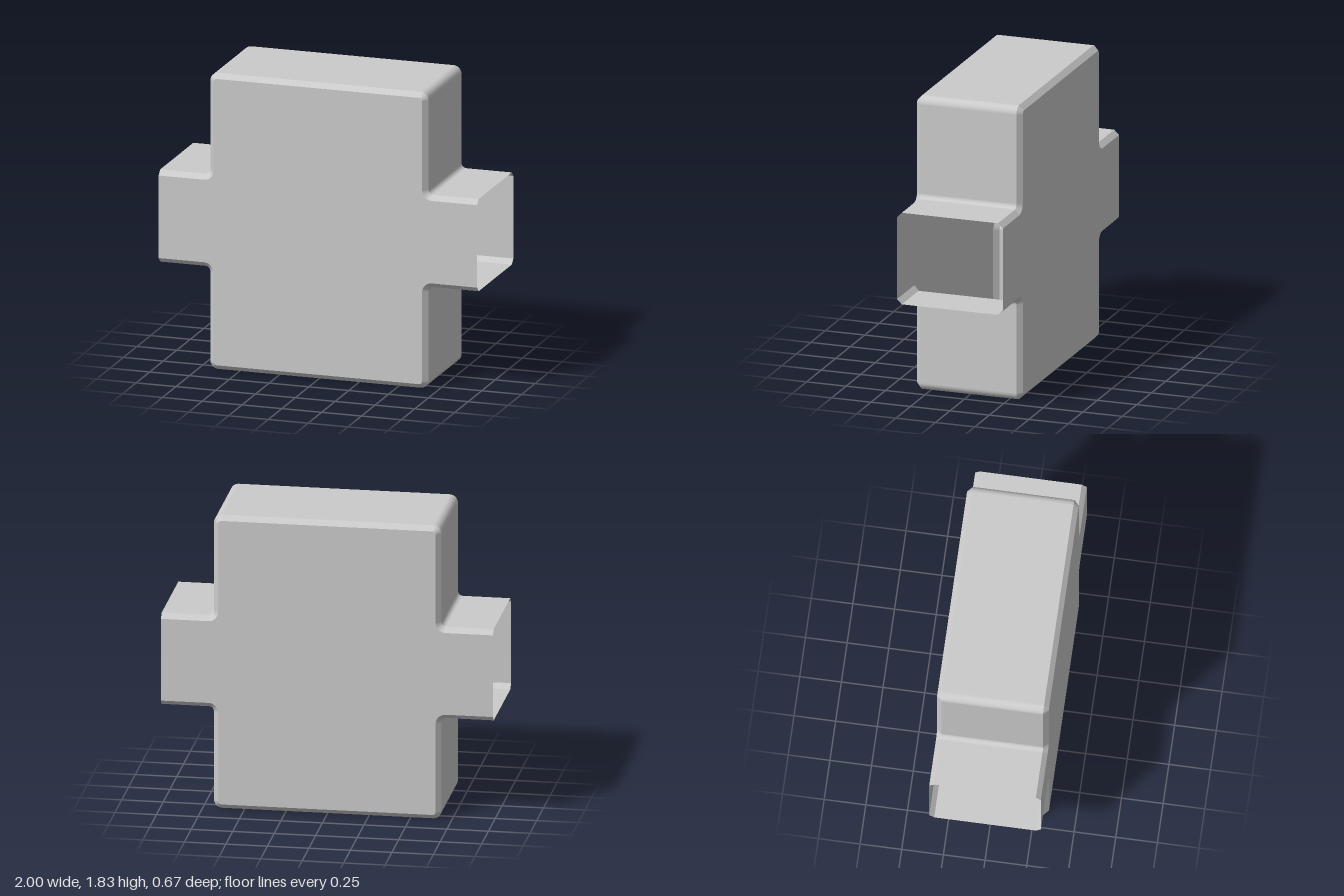
import * as THREE from 'three';

const ARM_X = 1;        // open ends of the arms
const ARM_H = 0.285;    // arm half height
const BODY_W = 0.685;   // body half width
const BODY_H = 0.915;   // body half height
const DEPTH = 0.335;    // half depth
const CHAMFER = 0.03;
const R_OUT = 0.05;     // outer corner radius
const R_IN = 0.03;      // inner fillet radius
const STEPS = 8;

// Upper outline from the right arm end to the left one, inset by d,
// as points [x, y, normalX, normalY]
function upperOutline(d) {
  const pts = [[ARM_X, ARM_H - d, 0, 1]];
  const arc = (cx, cy, r, from, to, sign) => {
    for (let i = 0; i <= STEPS; i++) {
      const a = from + (to - from) * i / STEPS;
      const c = Math.cos(a), s = Math.sin(a);
      pts.push([cx + r * c, cy + r * s, sign * c, sign * s]);
    }
  };
  arc(BODY_W + R_IN, ARM_H + R_IN, R_IN + d, -Math.PI / 2, -Math.PI, -1);
  arc(BODY_W - R_OUT, BODY_H - R_OUT, R_OUT - d, 0, Math.PI / 2, 1);
  const mirrored = pts.map(([x, y, nx, ny]) => [-x, y, -nx, ny]).reverse();
  return [...pts, ...mirrored];
}

// Strip between two outlines, from zA (front) to zB (back)
function wallGeometry(outA, zA, outB, zB, nz) {
  const position = [], normal = [], index = [];
  const n = new THREE.Vector3();
  outA.forEach((a, i) => {
    const b = outB[i];
    position.push(a[0], a[1], zA, b[0], b[1], zB);
    n.set(a[2], a[3], nz).normalize();
    normal.push(n.x, n.y, n.z, n.x, n.y, n.z);
    if (i < outA.length - 1) {
      const k = 2 * i;
      index.push(k, k + 1, k + 2, k + 2, k + 1, k + 3);
    }
  });
  const g = new THREE.BufferGeometry();
  g.setAttribute('position', new THREE.Float32BufferAttribute(position, 3));
  g.setAttribute('normal', new THREE.Float32BufferAttribute(normal, 3));
  g.setIndex(index);
  return g;
}

export function createModel() {
  const model = new THREE.Group();
  model.name = 'crossHousing';
  const material = new THREE.MeshStandardMaterial({ color: 0xcccccc, side: THREE.DoubleSide });
  const add = (parent, name, geometry) => {
    const mesh = new THREE.Mesh(geometry, material);
    mesh.name = name;
    parent.add(mesh);
    return mesh;
  };

  const full = upperOutline(0);
  const inset = upperOutline(CHAMFER);
  const edge = DEPTH - CHAMFER;

  // Upper and lower walls with their chamfers; the arm ends stay open
  for (const [name, turn] of [['upper', 0], ['lower', Math.PI]]) {
    const half = new THREE.Group();
    half.name = name + 'Shell';
    half.position.y = BODY_H;
    half.rotation.z = turn;
    add(half, name + 'Wall', wallGeometry(full, edge, full, -edge, 0));
    add(half, name + 'FrontChamfer', wallGeometry(inset, DEPTH, full, edge, 1));
    add(half, name + 'BackChamfer', wallGeometry(full, -edge, inset, -DEPTH, -1));
    model.add(half);
  }

  // Flat cross-shaped front and back plates
  const loop = [...inset, ...inset.map(([x, y]) => [-x, -y])];
  const plate = new THREE.ShapeGeometry(
    new THREE.Shape(loop.map(([x, y]) => new THREE.Vector2(x, y))));
  add(model, 'frontPlate', plate).position.set(0, BODY_H, DEPTH);
  const back = add(model, 'backPlate', plate);
  back.position.set(0, BODY_H, -DEPTH);
  back.rotation.y = Math.PI;

  return model;
}
